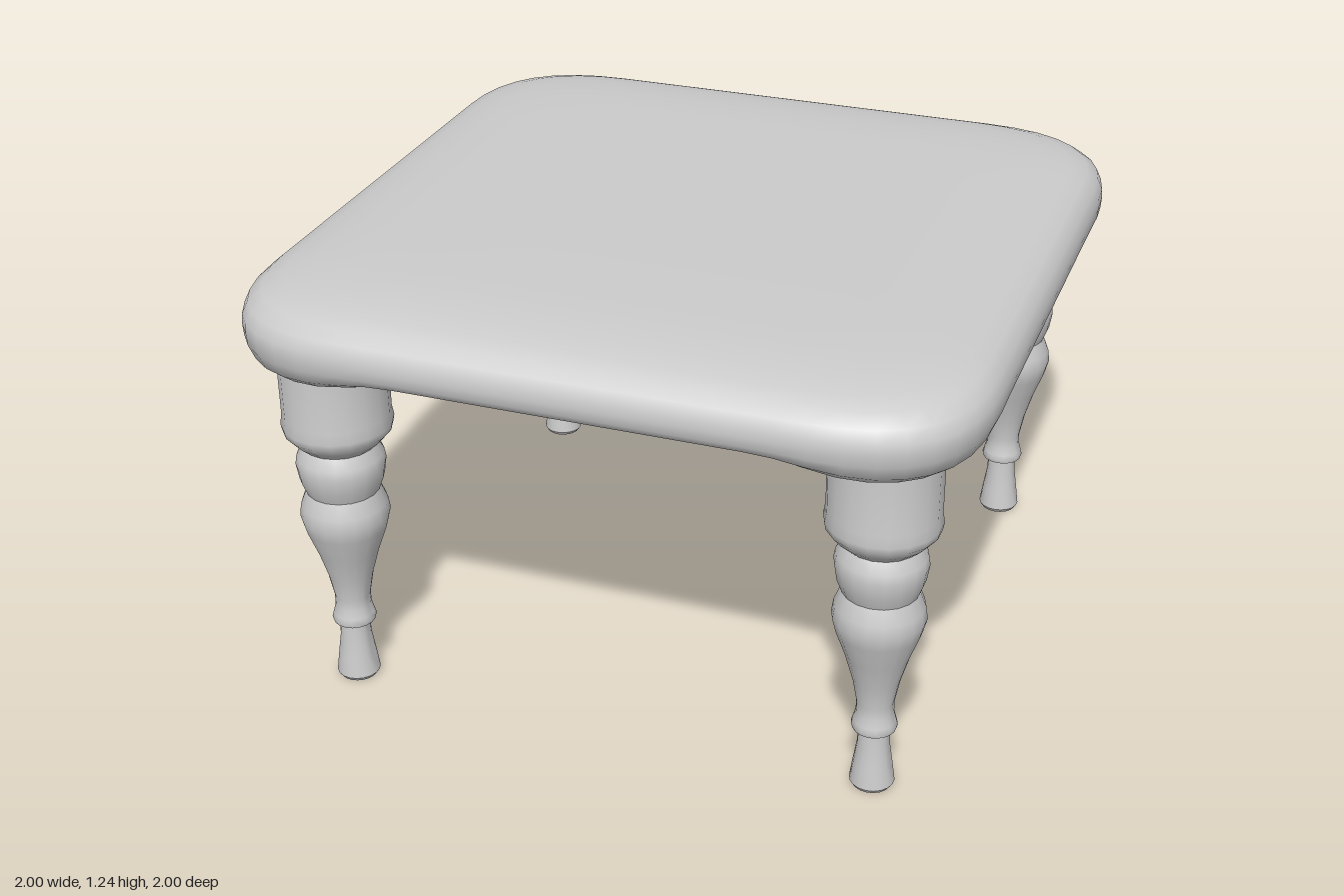
import * as THREE from 'three';
import { toCreasedNormals } from 'three/addons/utils/BufferGeometryUtils.js';

const LEG = 0.75; // leg axis distance from the centre lines

// Rounded-square outline, running anticlockwise seen from above
function outline() {
  const side = [];
  for (let i = 0; i < 16; i++) side.push(new THREE.Vector2(-0.62 + (1.24 * i) / 16, 1));
  const corner = new THREE.QuadraticBezierCurve(
    new THREE.Vector2(0.62, 1), new THREE.Vector2(1, 1), new THREE.Vector2(1, 0.62));
  side.push(...corner.getPoints(8).slice(0, -1));
  const pts = [];
  for (let k = 0; k < 4; k++) {
    side.forEach(p => pts.push(p.clone()));
    side.forEach(p => p.set(p.y, -p.x));
  }
  return pts;
}

// Cushioned slab: outline rings from top centre, over the rim, to bottom centre.
// The underside swells down by `drop` around each leg.
function slabGeometry() {
  const rings = [ // scale, height, swell
    [0, 1.24, 0], [0.35, 1.24, 0], [0.62, 1.239, 0], [0.74, 1.235, 0], [0.84, 1.226, 0],
    [0.91, 1.212, 0], [0.955, 1.195, 0], [0.985, 1.168, 0], [0.998, 1.135, 0],
    [1, 1.11, 0], [0.998, 1.085, 0.015], [0.985, 1.065, 0.04], [0.96, 1.058, 0.053],
  ];
  for (let s = 0.93; s > 0.2; s -= 0.03) rings.push([s, 1.051, 0.051]);
  rings.push([0, 1.051, 0]);

  const path = outline(), n = path.length, pos = [], index = [];
  rings.forEach(([s, y, drop], j) => {
    path.forEach((p, i) => {
      const x = p.x * s, z = p.y * s;
      const d = Math.hypot(Math.abs(x) - LEG, Math.abs(z) - LEG);
      const swell = 1 - THREE.MathUtils.smoothstep(d, 0.13, 0.36);
      pos.push(x, y - drop * swell, z);
      if (j === rings.length - 1) return;
      const a = j * n + i, b = j * n + ((i + 1) % n);
      if (j > 0) index.push(a, a + n, b);
      if (j < rings.length - 2) index.push(b, a + n, b + n);
    });
  });
  const g = new THREE.BufferGeometry();
  g.setAttribute('position', new THREE.Float32BufferAttribute(pos, 3));
  g.setIndex(index);
  g.computeVertexNormals();
  return g;
}

// Turned leg: radius and height from foot to top
function legGeometry() {
  const profile = [
    [0, 0], [0.052, 0], [0.06, 0.012], [0.052, 0.07], [0.043, 0.13], [0.041, 0.18],
    [0.058, 0.18], [0.061, 0.19], [0.057, 0.205], [0.05, 0.23], [0.049, 0.26],
    [0.062, 0.33], [0.085, 0.41], [0.112, 0.485], [0.122, 0.525], [0.117, 0.56],
    [0.1, 0.603], [0.114, 0.64], [0.121, 0.685], [0.117, 0.71], [0.1, 0.742],
    [0.125, 0.765], [0.146, 0.79], [0.15, 0.81], [0.145, 0.84], [0.145, 1.04],
  ].map(p => new THREE.Vector2(...p));
  return toCreasedNormals(new THREE.LatheGeometry(profile, 18), 0.7);
}

export function createModel() {
  const model = new THREE.Group();
  model.name = 'footstool';
  const material = new THREE.MeshStandardMaterial({ color: 0xcccccc });

  const seat = new THREE.Mesh(slabGeometry(), material);
  seat.name = 'seat';
  model.add(seat);

  const leg = legGeometry();
  for (const [z, end] of [[LEG, 'front'], [-LEG, 'back']]) {
    for (const [x, side] of [[LEG, 'Left'], [-LEG, 'Right']]) {
      const mesh = new THREE.Mesh(leg, material);
      mesh.name = `${end}${side}Leg`;
      mesh.position.set(x, 0, z);
      model.add(mesh);
    }
  }
  return model;
}
